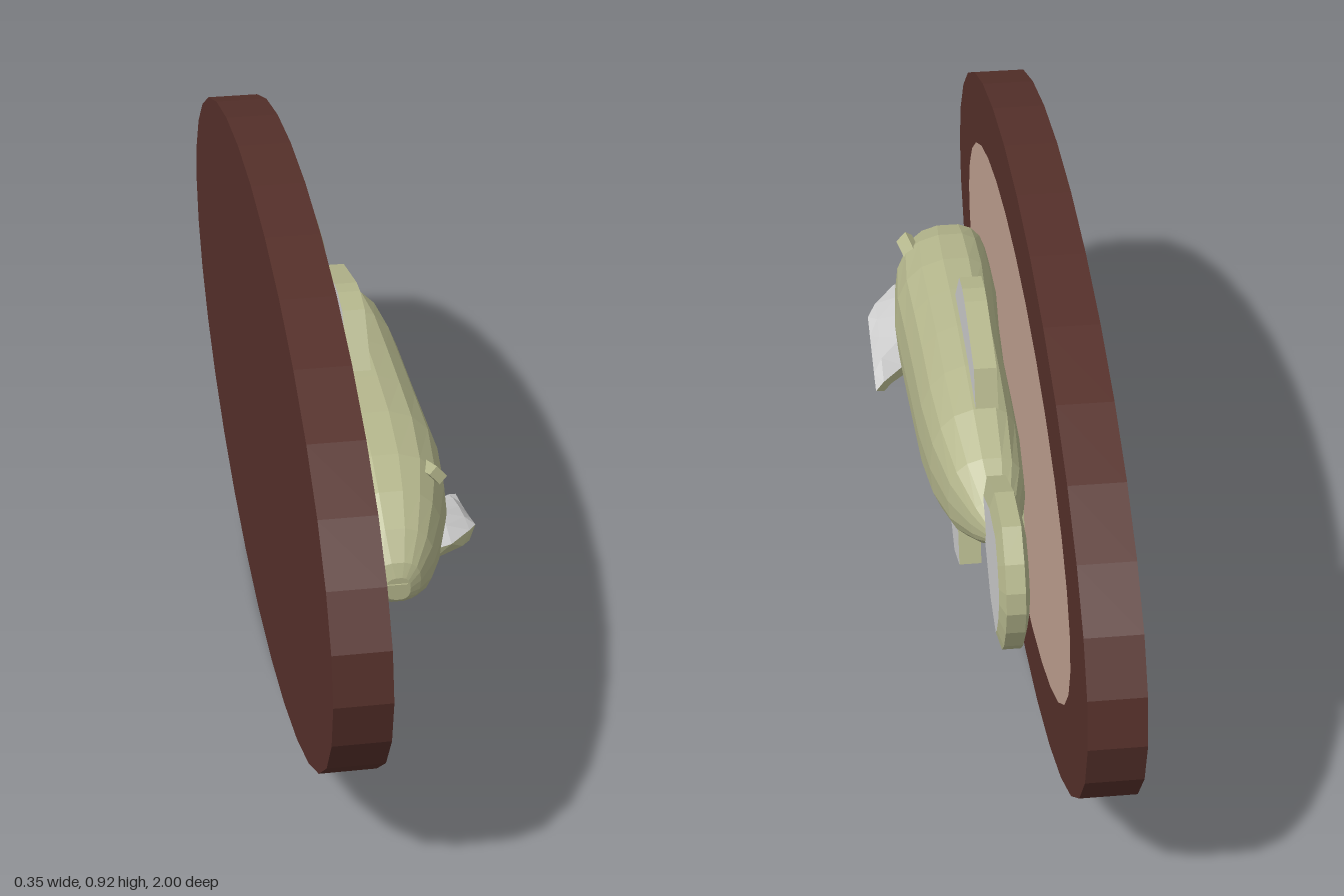
import * as THREE from 'three';

const mat = (color) => new THREE.MeshStandardMaterial({ color, flatShading: true });

// Flat slab cut from a (z, y) outline, running from x0 to x1; face and rim materials differ
function slab(name, outline, x0, x1, mats, bevel = 0) {
  const shape = new THREE.Shape(outline.map(([z, y]) => new THREE.Vector2(-z, y)));
  const geo = new THREE.ExtrudeGeometry(shape, {
    depth: x1 - x0 - 0.02 * (bevel > 0), bevelEnabled: bevel > 0,
    bevelThickness: 0.01, bevelSize: bevel, bevelOffset: -bevel, bevelSegments: 1,
  });
  geo.rotateY(Math.PI / 2).translate(x0 + 0.01 * (bevel > 0), 0, 0);
  const mesh = new THREE.Mesh(geo, mats);
  mesh.name = name;
  return mesh;
}

// Fish body: boxy rounded sections, each [z, bottom, top, left half width, right half width]
function bodyGeometry() {
  const rows = [
    [0.61, 0.395, 0.44, 0.025, 0.02], [0.6, 0.385, 0.465, 0.05, 0.04],
    [0.56, 0.36, 0.51, 0.072, 0.07], [0.5, 0.34, 0.55, 0.077, 0.095],
    [0.42, 0.315, 0.578, 0.077, 0.118], [0.3, 0.292, 0.597, 0.077, 0.128],
    [0.18, 0.282, 0.604, 0.068, 0.124], [0.05, 0.285, 0.607, 0.062, 0.12],
    [-0.08, 0.3, 0.604, 0.062, 0.117], [-0.2, 0.33, 0.588, 0.062, 0.107],
    [-0.3, 0.365, 0.548, 0.058, 0.084], [-0.37, 0.405, 0.505, 0.038, 0.05],
    [-0.41, 0.435, 0.475, 0.025, 0.022],
  ];
  const n = 18, pos = [], idx = [];
  const curve = (t) => Math.sign(t) * Math.abs(t) ** 0.8;
  for (const [z, bottom, top, left, right] of rows) {
    for (let j = 0; j < n; j++) {
      const a = (j / n) * Math.PI * 2, c = curve(Math.cos(a));
      pos.push(c * (c < 0 ? left : right), (top + bottom) / 2 + curve(Math.sin(a)) * (top - bottom) / 2, z);
    }
  }
  for (let i = 0; i < rows.length - 1; i++) {
    for (let j = 0; j < n; j++) {
      const a = i * n + j, b = i * n + (j + 1) % n;
      idx.push(a, a + n, b, b, a + n, b + n);
    }
  }
  const last = (rows.length - 1) * n;
  for (let j = 1; j < n - 1; j++) {
    idx.push(0, j, j + 1, last, last + j + 1, last + j);
  }
  const geo = new THREE.BufferGeometry();
  geo.setAttribute('position', new THREE.Float32BufferAttribute(pos, 3));
  geo.setIndex(idx);
  geo.computeVertexNormals();
  return geo;
}

// Side fin: a curved blade section swept along z, then skewed backwards and down
function sideFinGeometry() {
  const section = [[0.08, 0.425], [0.115, 0.425], [0.158, 0.405], [0.175, 0.38],
    [0.158, 0.35], [0.14, 0.368], [0.08, 0.375]];
  const shape = new THREE.Shape(section.map(([x, y]) => new THREE.Vector2(x, y)));
  const geo = new THREE.ExtrudeGeometry(shape, { depth: 1, steps: 4, bevelEnabled: false });
  const p = geo.attributes.position;
  for (let i = 0; i < p.count; i++) {
    const t = p.getZ(i), out = (p.getX(i) - 0.08) / 0.095;
    const front = 0.5 - 0.1 * out * out, back = 0.3 - 0.09 * out;
    const thin = 1 - 0.6 * Math.abs(2 * t - 1) ** 2;
    p.setY(i, 0.385 + (p.getY(i) - 0.385) * thin + (t - 0.6) * 0.05);
    p.setZ(i, back + (front - back) * t);
  }
  geo.computeVertexNormals();
  return geo;
}

export function createModel() {
  const group = new THREE.Group();
  const wood = mat(0x55302a), panelMat = mat(0xbfa08f), skin = mat(0xb4b68c), grey = mat(0xcccccc);
  const add = (name, geo, material) => {
    const mesh = new THREE.Mesh(geo, material);
    mesh.name = name;
    group.add(mesh);
    return mesh;
  };

  // Oval wall plaque with a pale panel
  const board = new THREE.CylinderGeometry(1, 1, 0.1, 32).rotateZ(-Math.PI / 2);
  add('plaque', board.scale(1, 0.4575, 1).translate(-0.125, 0.4575, 0), wood);
  const panel = new THREE.CircleGeometry(1, 32).rotateY(Math.PI / 2);
  add('plaquePanel', panel.scale(1, 0.33, 0.8).translate(-0.0735, 0.4575, 0), panelMat);

  // Body, eye and mouth
  add('body', bodyGeometry(), skin);
  const eye = add('eye', new THREE.BoxGeometry(0.02, 0.028, 0.05), skin);
  eye.position.set(0.088, 0.543, 0.435);
  eye.rotation.set(-0.25, 0.25, 0.75);
  add('mouth', new THREE.BoxGeometry(0.038, 0.026, 0.03).translate(-0.004, 0.415, 0.598), skin);

  // Back fin and tail
  const finMats = [grey, skin];
  group.add(slab('backFin', [[0.17, 0.59], [0.085, 0.69], [0.03, 0.7], [-0.01, 0.697],
    [-0.17, 0.655], [-0.21, 0.56]], -0.02, 0.022, finMats));
  group.add(slab('tail', [[-0.33, 0.53], [-0.45, 0.583], [-0.56, 0.59], [-0.61, 0.545],
    [-0.635, 0.5], [-0.642, 0.46], [-0.63, 0.41], [-0.605, 0.36], [-0.575, 0.328],
    [-0.47, 0.345], [-0.36, 0.42]], -0.028, 0.026, finMats, 0.03));

  // Paired belly fins
  for (const [side, x] of [['Right', -0.06], ['Left', 0.022]]) {
    group.add(slab('frontBellyFin' + side, [[0.43, 0.36], [0.41, 0.28], [0.35, 0.26],
      [0.28, 0.253], [0.27, 0.34]], x, x + 0.041, finMats));
    group.add(slab('rearBellyFin' + side, [[-0.08, 0.35], [-0.12, 0.315], [-0.21, 0.272],
      [-0.3, 0.308], [-0.27, 0.4]], x, x + 0.041, finMats));
  }

  // Fin on the exposed flank
  add('sideFin', sideFinGeometry(), [skin, grey]);
  return group;
}
